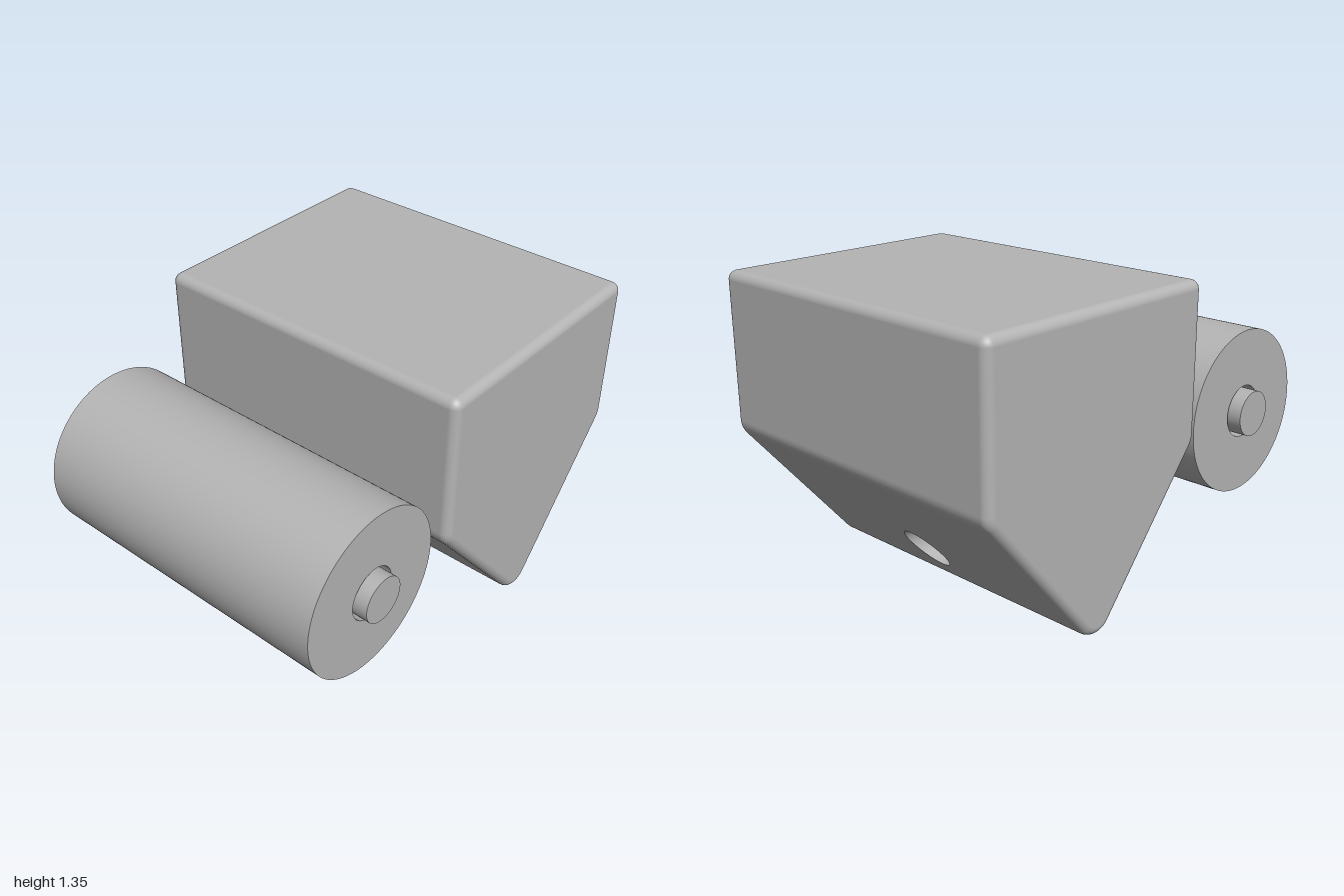
import * as THREE from 'three';
import { toCreasedNormals } from 'three/addons/utils/BufferGeometryUtils.js';

const grey = new THREE.MeshStandardMaterial({ color: 0xb4b4b4, side: THREE.DoubleSide });
grey.name = 'grey';

const rad = THREE.MathUtils.degToRad;
const SLOPE = rad(50), S = Math.sin(SLOPE), C = Math.cos(SLOPE);

// Block dimensions
const CX = 0.395, HALF = 0.605, TOP = 1.35, DEPTH = 0.765;
const FILLET = 0.04, ROUND = 0.1;
const HOLE_Y = 0.205, HOLE_R = 0.103;
const shoulderY = ROUND + (HALF - ROUND) * S / C;

// Rounded corners, anticlockwise from the tip: [centre x, centre y, radius, start, end]
const corners = [
  [CX, ROUND, ROUND, -140, -40],
  [CX + HALF - ROUND, shoulderY, ROUND, -40, 0],
  [CX + HALF - FILLET, TOP - FILLET, FILLET, 0, 90],
  [CX - HALF + FILLET, TOP - FILLET, FILLET, 90, 180],
  [CX - HALF + ROUND, shoulderY, ROUND, 180, 220],
];
const ARC = 10;

// Cross-section shrunk by an inset
function section(inset) {
  const pts = [];
  for (const [x, y, r, from, to] of corners) {
    for (let i = 0; i <= ARC; i++) {
      const a = rad(from + (to - from) * i / ARC);
      const nx = Math.cos(a), ny = Math.sin(a);
      pts.push({ x: x + nx * (r - inset), y: y + ny * (r - inset), nx, ny });
    }
  }
  return pts;
}

// Sides and rounded front/back rims, leaving out the two sloping faces
function shellGeometry() {
  const rings = [], steps = 8;
  for (const side of [-1, 1]) {
    for (let i = 0; i <= steps; i++) {
      const t = (side < 0 ? i - steps : i) / steps * Math.PI / 2;
      rings.push([side * (DEPTH - FILLET) + FILLET * Math.sin(t), t]);
    }
  }
  const pos = [], nor = [], idx = [], n = corners.length * (ARC + 1);
  rings.forEach(([z, t], r) => {
    for (const p of section(FILLET * (1 - Math.cos(t)))) {
      pos.push(p.x, p.y, z);
      nor.push(p.nx * Math.cos(t), p.ny * Math.cos(t), Math.sin(t));
    }
    if (r === rings.length - 1) return;
    for (let k = 0; k < n; k++) {
      const sloping = k === ARC || k === n - 1;
      if (r === steps && sloping) continue;
      const a = r * n + k, b = r * n + (k + 1) % n;
      idx.push(a, b, b + n, a, b + n, a + n);
    }
  });
  const g = new THREE.BufferGeometry();
  g.setAttribute('position', new THREE.Float32BufferAttribute(pos, 3));
  g.setAttribute('normal', new THREE.Float32BufferAttribute(nor, 3));
  g.setIndex(idx);
  return g;
}

// Sloping face with the mouth of the cross hole
function slopeGeometry() {
  const length = (HALF - ROUND) / C, w = DEPTH - FILLET;
  const x0 = CX + ROUND * S, y0 = ROUND - ROUND * C;
  const shape = new THREE.Shape();
  shape.moveTo(0, -w).lineTo(length, -w).lineTo(length, w).lineTo(0, w).closePath();
  const mouth = new THREE.Path();
  mouth.absellipse((HOLE_Y - y0) / S, 0, HOLE_R / S, HOLE_R, 0, Math.PI * 2, true);
  shape.holes.push(mouth);
  const m = new THREE.Matrix4().makeBasis(
    new THREE.Vector3(C, S, 0), new THREE.Vector3(0, 0, 1), new THREE.Vector3(S, -C, 0));
  m.setPosition(x0, y0, 0);
  return new THREE.ShapeGeometry(shape, 24).applyMatrix4(m);
}

// Wall of the cross hole, its ends trimmed to the slopes
function boreGeometry() {
  const g = new THREE.CylinderGeometry(HOLE_R, HOLE_R, 1, 48, 1, true).rotateZ(Math.PI / 2);
  const p = g.attributes.position;
  for (let i = 0; i < p.count; i++) {
    const y = p.getY(i) + HOLE_Y;
    const reach = ROUND * S + (y - ROUND + ROUND * C) * C / S;
    p.setXYZ(i, CX + Math.sign(p.getX(i)) * reach, y, p.getZ(i));
  }
  return g;
}

export function createModel() {
  const model = new THREE.Group();
  const add = (name, geometry, parent) => {
    const mesh = new THREE.Mesh(geometry, grey);
    mesh.name = name;
    parent.add(mesh);
    return mesh;
  };

  // Pointed block
  const block = new THREE.Group();
  block.name = 'pointedBlock';
  model.add(block);
  add('blockShell', shellGeometry(), block);
  const endShape = new THREE.Shape(section(FILLET).map(p => new THREE.Vector2(p.x, p.y)));
  add('frontFace', new THREE.ShapeGeometry(endShape), block).position.z = DEPTH;
  const back = add('backFace', new THREE.ShapeGeometry(endShape), block);
  back.rotation.y = Math.PI;
  back.position.set(2 * CX, 0, -DEPTH);
  add('leftSlope', slopeGeometry(), block);
  const right = add('rightSlope', slopeGeometry(), block);
  right.rotation.y = Math.PI;
  right.position.x = 2 * CX;
  add('crossHole', boreGeometry(), block);

  // Roller with a loose axle through it
  const roller = new THREE.Group();
  roller.name = 'rollerAssembly';
  roller.position.set(-0.63, 0.68, 0);
  model.add(roller);
  const ring = new THREE.Shape().absarc(0, 0, 0.37, 0, Math.PI * 2, false);
  ring.holes.push(new THREE.Path().absarc(0, 0, 0.117, 0, Math.PI * 2, true));
  const tube = new THREE.ExtrudeGeometry(ring, { depth: 1.44, bevelEnabled: false, curveSegments: 64 });
  add('roller', toCreasedNormals(tube.translate(0, 0, -0.72), rad(30)), roller);
  add('axle', new THREE.CylinderGeometry(0.102, 0.102, 1.55, 48).rotateX(Math.PI / 2), roller);

  return model;
}
